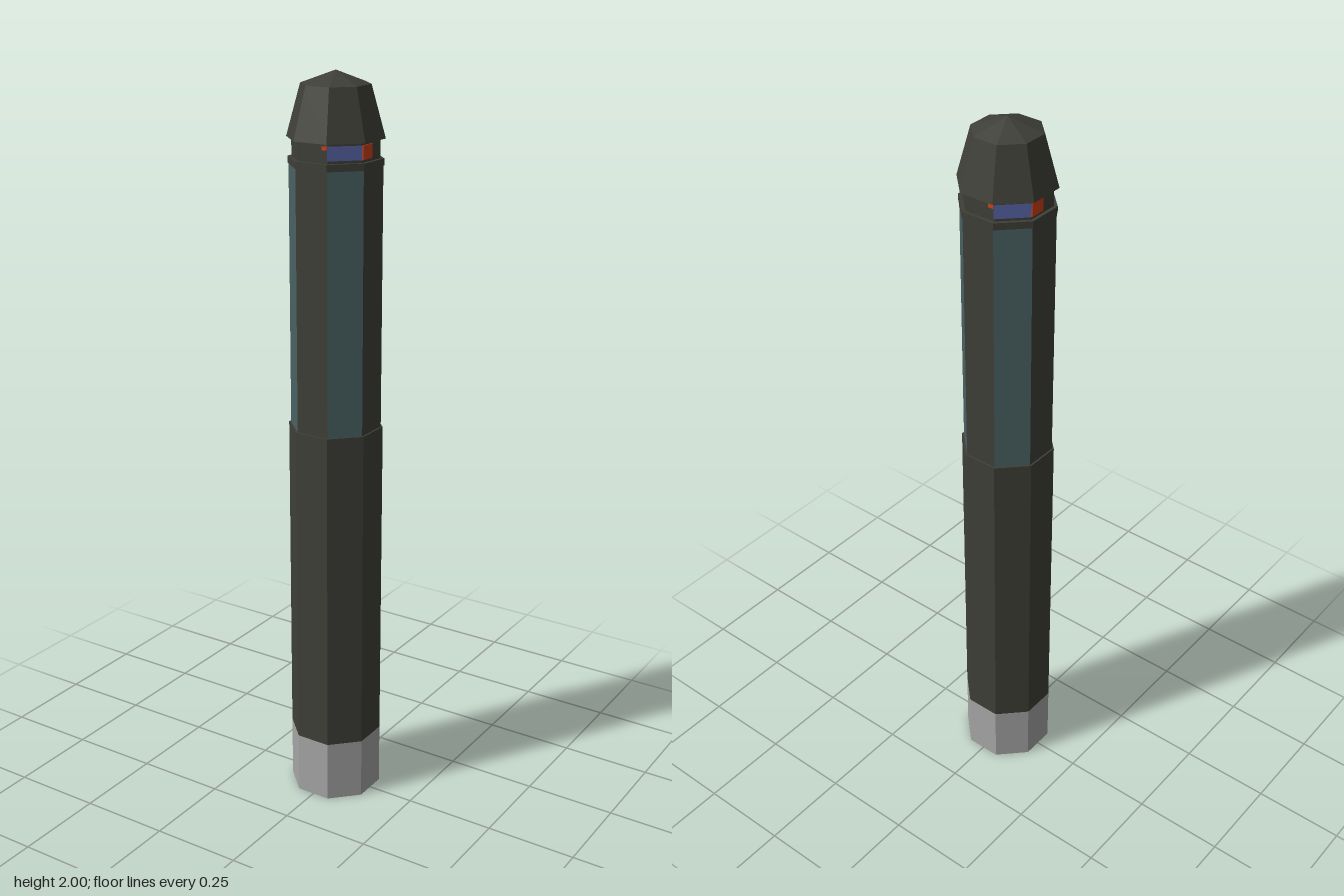
import * as THREE from 'three';

const SIDES = 8;
const STEP = (Math.PI * 2) / SIDES;

function paint(name, color) {
  const m = new THREE.MeshStandardMaterial({ color, flatShading: true, side: THREE.DoubleSide });
  m.name = name;
  return m;
}

// Octagonal turned surface; profile gives [apothem, y] pairs, face 0 points to +x+z
function octagon(profile, firstFace = 0, faces = SIDES) {
  const k = 1 / Math.cos(STEP / 2);
  const pts = profile.map(([a, y]) => new THREE.Vector2(a * k, y));
  return new THREE.LatheGeometry(pts, faces, STEP / 2 + firstFace * STEP, faces * STEP);
}

export function createModel() {
  const model = new THREE.Group();
  model.name = 'pillar';

  const dark = paint('dark olive metal', 0x3f3f38);
  const glass = paint('teal glass', 0x4a6264);
  const grey = paint('grey stone', 0xa6a6a6);
  const blue = paint('blue sign', 0x5864a6);
  const red = paint('red sign', 0xcc4016);

  const add = (name, geometry, material, parent = model) => {
    const mesh = new THREE.Mesh(geometry, material);
    mesh.name = name;
    parent.add(mesh);
    return mesh;
  };

  // Hollow core, open below: glass on the diagonal sides, metal on the others
  for (let i = 0; i < SIDES; i++) {
    const pane = i % 2 === 0;
    add(pane ? 'glassPanel' : 'framePost', octagon([[0.112, 0], [0.112, 1.768]], i, 1), pane ? glass : dark);
  }

  // Outer sleeves
  add('base', octagon([[0.112, 0], [0.117, 0], [0.117, 0.173]]), grey);
  add('lowerBody', octagon([[0.117, 0.173], [0.117, 1.078], [0.112, 1.078]]), dark);

  // Rim, neck and cap
  add('topRim', octagon([[0.112, 1.768], [0.114, 1.768], [0.114, 1.786], [0.104, 1.786]]), dark);
  add('neck', octagon([[0.105, 1.786], [0.105, 1.835]]), dark);
  add('cap', octagon([[0, 1.835], [0.117, 1.835], [0.083, 1.967], [0, 2]]), dark);

  // Painted signs on the neck, repeated on the opposite side
  for (const turn of [0, Math.PI]) {
    const sign = new THREE.Group();
    sign.name = 'neckSign';
    sign.rotation.y = turn;
    model.add(sign);
    add('bluePlate', octagon([[0.107, 1.793], [0.107, 1.829]], 0, 1), blue, sign);
    const plate = add('redPlate', new THREE.BoxGeometry(0.003, 0.036, 0.042), red, sign);
    plate.position.set(0.1065, 1.811, 0.022);
    const chip = add('redChip', new THREE.BoxGeometry(0.014, 0.009, 0.003), red, sign);
    chip.position.set(0.036, 1.824, 0.1065);
  }

  return model;
}
